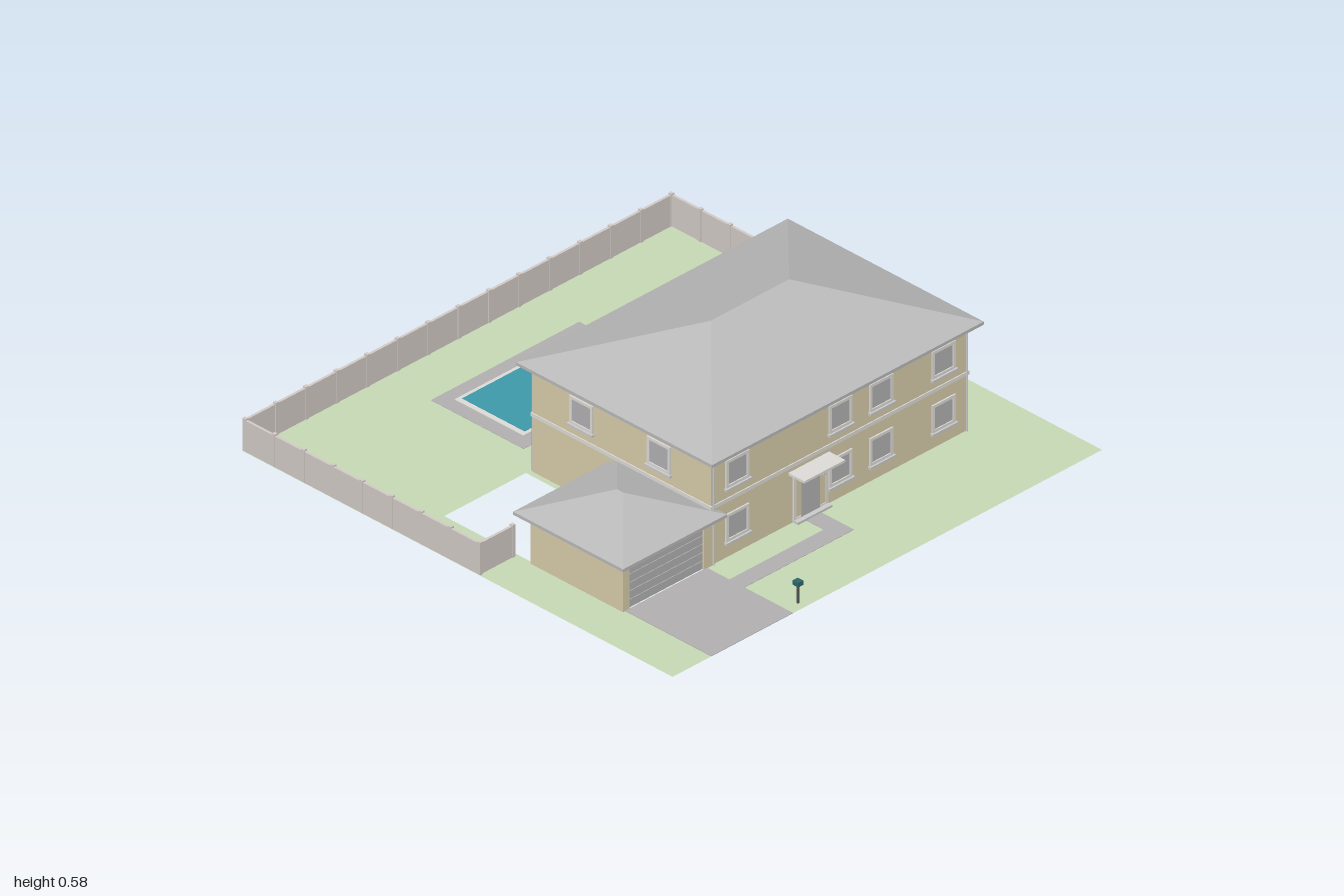
import * as THREE from 'three';

const mat = (color) => new THREE.MeshStandardMaterial({ color });
const M = {
  wall: mat(0xd9cdaa), roof: mat(0xbababa), grey: mat(0xcccccc), trim: mat(0xdedcd8),
  glass: mat(0xb2b2b4), paving: mat(0xb3b0b1), fence: mat(0xd3cbc7), grass: mat(0xc7dab6),
  water: mat(0x3f9aab), mailbox: mat(0x2f6468), dark: mat(0x555555),
};
M.grass.side = THREE.DoubleSide;

// Box given by its limits on each axis
function box(parent, name, m, x0, x1, y0, y1, z0, z1) {
  const mesh = new THREE.Mesh(new THREE.BoxGeometry(x1 - x0, y1 - y0, z1 - z0), m);
  mesh.position.set((x0 + x1) / 2, (y0 + y1) / 2, (z0 + z1) / 2);
  mesh.name = name;
  parent.add(mesh);
  return mesh;
}

// Hip roof: four slopes rising from an eave rectangle to a ridge, over a thin fascia slab
function hipRoof(parent, name, e, ridge, y0, yEave, yTop) {
  const g = new THREE.Group();
  g.name = name;
  const ring = (r, y) => [[r[0], y, r[3]], [r[1], y, r[3]], [r[1], y, r[2]], [r[0], y, r[2]]];
  const low = ring(e, yEave), high = ring(ridge, yTop), pos = [];
  for (let i = 0; i < 4; i++) {
    const j = (i + 1) % 4;
    pos.push(...low[i], ...low[j], ...high[j], ...low[i], ...high[j], ...high[i]);
  }
  const geo = new THREE.BufferGeometry();
  geo.setAttribute('position', new THREE.Float32BufferAttribute(pos, 3));
  geo.computeVertexNormals();
  const slopes = new THREE.Mesh(geo, M.roof);
  slopes.name = 'roofSlopes';
  g.add(slopes);
  box(g, 'fascia', M.roof, e[0], e[1], y0, yEave, e[2], e[3]);
  parent.add(g);
}

// Framed opening facing local +z, its base centre at the origin
function framed(name, w, h, bars, sill) {
  const g = new THREE.Group(), t = 0.011, a = w / 2;
  g.name = name;
  box(g, 'pane', M.glass, -a + t, a - t, t, h - t, -0.003, 0.002);
  for (const s of [-1, 1]) box(g, 'jamb', M.trim, s * (a - t / 2) - t / 2, s * (a - t / 2) + t / 2, 0, h, -0.003, 0.006);
  box(g, 'head', M.trim, -a + t, a - t, h - t, h, -0.003, 0.006);
  box(g, 'bottomRail', M.trim, -a + t, a - t, 0, t, -0.003, 0.006);
  for (let i = 1; i < bars; i++) {
    const x = -a + (w * i) / bars;
    box(g, 'mullion', M.trim, x - 0.003, x + 0.003, t, h - t, -0.003, 0.005);
  }
  if (sill) box(g, 'sill', M.grey, -a - 0.005, a + 0.005, -0.008, 0.001, -0.003, 0.013);
  return g;
}

export function createModel() {
  const root = new THREE.Group();
  root.name = 'houseWithGarden';

  // Lawn with a notch behind, under and in front of the garage
  const lawn = new THREE.Shape();
  [[-1, 1], [1, 1], [1, -1], [-0.44, -1], [-0.44, 0.24], [-0.82, 0.24], [-0.82, -1], [-1, -1]]
    .forEach(([x, y], i) => (i ? lawn.lineTo(x, y) : lawn.moveTo(x, y)));
  const lawnMesh = new THREE.Mesh(new THREE.ShapeGeometry(lawn).rotateX(-Math.PI / 2), M.grass);
  lawnMesh.name = 'lawn';
  root.add(lawnMesh);
  box(root, 'driveway', M.paving, -0.82, -0.44, 0, 0.002, 0.6, 1);
  box(root, 'path', M.paving, -0.44, 0.07, 0.0005, 0.002, 0.705, 0.775);
  box(root, 'pathToDoor', M.paving, 0, 0.07, 0.0005, 0.002, 0.6, 0.705);

  // Swimming pool
  box(root, 'poolDeck', M.paving, -0.34, 0.35, 0.0005, 0.002, -0.78, -0.35);
  box(root, 'poolRim', M.trim, -0.285, 0.29, 0.001, 0.005, -0.725, -0.405);
  box(root, 'poolWater', M.water, -0.265, 0.275, 0.002, 0.0065, -0.71, -0.42);

  // Main house body, belt course and roof
  const house = new THREE.Group();
  house.name = 'house';
  root.add(house);
  box(house, 'walls', M.wall, -0.42, 0.775, 0.001, 0.415, -0.23, 0.6);
  box(house, 'beltCourse', M.trim, -0.424, 0.779, 0.216, 0.23, -0.234, 0.604);
  box(house, 'soffit', M.trim, -0.435, 0.79, 0.402, 0.412, -0.25, 0.62);
  hipRoof(house, 'mainRoof', [-0.455, 0.81, -0.27, 0.64], [0, 0.365, 0.18, 0.18], 0.41, 0.422, 0.58);

  // Windows on each wall: [centre along wall, base height]
  const place = (part, side, u, y) => {
    const at = { front: [u, 0.6, 0], back: [u, -0.23, Math.PI], left: [0.775, u, Math.PI / 2], right: [-0.42, u, -Math.PI / 2] }[side];
    part.position.set(at[0], y, at[1]);
    part.rotation.y = at[2];
    house.add(part);
  };
  const rows = { front: [-0.3, 0.18, 0.37, 0.66], left: [0.465, 0.185, -0.095], back: [0.63, 0.39, 0.15, -0.095, -0.335] };
  for (const [side, centres] of Object.entries(rows))
    for (const u of centres)
      for (const y of [0.062, 0.27]) {
        if (side === 'back' && u === 0.15 && y < 0.2) continue;
        place(framed('window', 0.108, 0.107, 1, true), side, u, y);
      }
  for (const z of [0, 0.36]) place(framed('window', 0.108, 0.107, 1, true), 'right', z, 0.27);
  place(framed('patioDoor', 0.18, 0.165, 2, false), 'back', 0.15, 0.003);

  // Front entrance with side panel, canopy, step and lamp
  place(framed('doorSurround', 0.16, 0.18, 1, false), 'front', 0.04, 0.004);
  box(house, 'doorWallPanel', M.wall, -0.03, 0.11, 0.014, 0.173, 0.6, 0.603);
  box(house, 'door', M.glass, -0.005, 0.08, 0.01, 0.153, 0.6, 0.607);
  box(house, 'doorStep', M.grey, -0.04, 0.12, 0.001, 0.01, 0.6, 0.625);
  box(house, 'canopy', M.trim, -0.06, 0.13, 0.192, 0.201, 0.6, 0.675);
  box(house, 'doorLamp', M.grey, 0.09, 0.102, 0.132, 0.148, 0.6, 0.615);

  // Downpipes at the house corners
  for (const x of [-0.413, 0.768])
    for (const z of [-0.234, 0.604]) {
      const pipe = new THREE.Mesh(new THREE.CylinderGeometry(0.004, 0.004, 0.405, 8), M.grey);
      pipe.position.set(x, 0.2035, z);
      pipe.name = 'downpipe';
      house.add(pipe);
    }

  // Air-conditioning unit
  box(root, 'airConditioner', M.glass, 0.785, 0.855, 0.001, 0.055, 0.15, 0.21);

  // Garage: open-bottomed shell, panelled door and roof
  const garage = new THREE.Group();
  garage.name = 'garage';
  root.add(garage);
  box(garage, 'backWall', M.wall, -0.83, -0.42, 0, 0.195, 0.17, 0.18);
  box(garage, 'sideWall', M.wall, -0.83, -0.82, 0, 0.195, 0.18, 0.6);
  box(garage, 'pier', M.wall, -0.83, -0.8, 0, 0.195, 0.588, 0.6);
  box(garage, 'pier', M.wall, -0.455, -0.415, 0, 0.195, 0.588, 0.602);
  box(garage, 'header', M.wall, -0.8, -0.455, 0.165, 0.195, 0.588, 0.6);
  for (let i = 0; i < 5; i++) {
    const y = 0.002 + i * 0.0326;
    box(garage, 'doorPanel', M.glass, -0.8, -0.455, y, y + 0.03, 0.586, 0.596);
  }
  box(garage, 'doorBacking', M.glass, -0.8, -0.455, 0.002, 0.165, 0.584, 0.592);
  for (const x of [-0.815, -0.435]) box(garage, 'garageLamp', M.grey, x - 0.006, x + 0.006, 0.168, 0.184, 0.6, 0.614);
  hipRoof(garage, 'garageRoof', [-0.87, -0.385, 0.13, 0.64], [-0.628, -0.628, 0.37, 0.4], 0.189, 0.201, 0.287);

  // Garden wall around the back, with regular posts
  const fence = new THREE.Group();
  fence.name = 'gardenWall';
  root.add(fence);
  const post = (x, z) => box(fence, 'wallPost', M.fence, x - 0.007, x + 0.007, 0, 0.126, z - 0.007, z + 0.007);
  box(fence, 'backPanel', M.fence, -0.998, 0.998, 0, 0.12, -0.998, -0.988);
  for (let i = 0; i <= 14; i++) post(-0.992 + (i * 1.984) / 14, -0.992);
  for (const s of [-1, 1]) {
    const x = s * 0.993;
    box(fence, 'sidePanel', M.fence, x - 0.005, x + 0.005, 0, 0.12, -0.988, 0.1);
    for (let i = 1; i <= 8; i++) post(s * 0.992, -0.992 + (i * 1.09) / 8);
  }
  box(fence, 'returnPanel', M.fence, -0.998, -0.83, 0, 0.12, 0.091, 0.101);
  box(fence, 'returnPanel', M.fence, 0.775, 0.998, 0, 0.12, 0.091, 0.101);
  post(-0.84, 0.097);
  post(0.83, 0.097);

  // Mailbox by the drive
  const mail = new THREE.Group();
  mail.name = 'mailbox';
  box(mail, 'mailboxPost', M.dark, -0.003, 0.003, 0, 0.072, -0.003, 0.003);
  box(mail, 'mailboxBody', M.mailbox, -0.012, 0.012, 0.071, 0.088, -0.013, 0.013);
  mail.position.set(-0.383, 0, 0.967);
  root.add(mail);

  return root;
}
